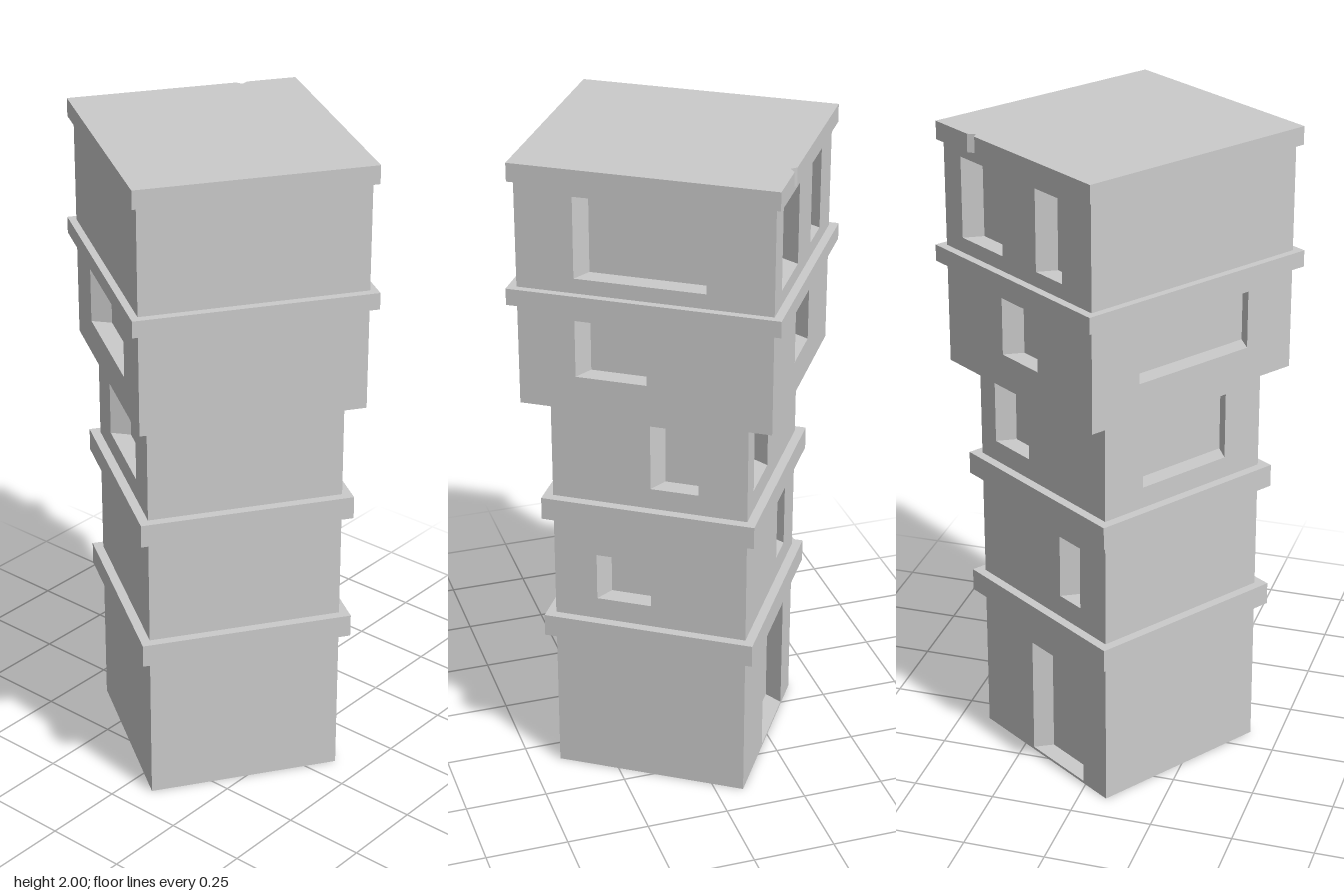
import * as THREE from 'three';
import { mergeGeometries } from 'three/addons/utils/BufferGeometryUtils.js';

const material = new THREE.MeshStandardMaterial({ color: 0xcccccc, flatShading: true });

// Recesses run inward at a slant: sideways drift and depth
const DRIFT = 0.029, DEPTH = 0.056;

function mesh(name, geometry) {
  const m = new THREE.Mesh(geometry, material);
  m.name = name;
  return m;
}

// Four side walls and a blind back for one opening [u0, u1, v0, v1]
function recess([u0, u1, v0, v1]) {
  const outer = [[u0, v0], [u1, v0], [u1, v1], [u0, v1]].map(([u, v]) => [u, v, 0]);
  const inner = outer.map(([u, v]) => [u + DRIFT, v, -DEPTH]);
  const p = [];
  const quad = (a, b, c, d) => p.push(...a, ...b, ...c, ...a, ...c, ...d);
  for (let i = 0; i < 4; i++) {
    const j = (i + 1) % 4;
    quad(outer[i], outer[j], inner[j], inner[i]);
  }
  quad(...inner);
  const g = new THREE.BufferGeometry();
  g.setAttribute('position', new THREE.Float32BufferAttribute(p, 3));
  g.computeVertexNormals();
  return g;
}

// Flat wall with recessed openings, facing +z before it is turned into place
function wall(halfWidth, y0, y1, openings, angle, distance) {
  const rect = (S, a, b, c, d) => {
    const s = new S();
    s.moveTo(a, c); s.lineTo(b, c); s.lineTo(b, d); s.lineTo(a, d); s.closePath();
    return s;
  };
  const shape = rect(THREE.Shape, -halfWidth, halfWidth, y0, y1);
  openings.forEach((o) => shape.holes.push(rect(THREE.Path, ...o)));
  const face = new THREE.ShapeGeometry(shape).toNonIndexed();
  face.deleteAttribute('uv');
  return mergeGeometries([face, ...openings.map(recess)])
    .translate(0, 0, distance)
    .rotateY(angle);
}

// One storey: front, left, back and right walls, with an optional underside
function storey({ name, hx, hz, y0, y1, left = [], back = [], right = [], underside }) {
  const parts = [
    wall(hx, y0, y1, [], 0, hz),
    wall(hz, y0, y1, left, Math.PI / 2, hx),
    wall(hx, y0, y1, back, Math.PI, hz),
    wall(hz, y0, y1, right, -Math.PI / 2, hx),
  ];
  if (underside) {
    const floor = new THREE.PlaneGeometry(2 * hx, 2 * hz).rotateX(Math.PI / 2).translate(0, y0, 0).toNonIndexed();
    floor.deleteAttribute('uv');
    parts.push(floor);
  }
  return mesh(name, mergeGeometries(parts));
}

function ledge(name, hx, hz, y0, y1) {
  return mesh(name, new THREE.BoxGeometry(2 * hx, y1 - y0, 2 * hz).translate(0, (y0 + y1) / 2, 0));
}

// Roof slab with a small chip out of its back edge
function roof(hx, hz, y0, y1) {
  const s = new THREE.Shape();
  [[-hx, -hz], [hx, -hz], [hx, hz], [0.2, hz], [0.18, hz - 0.016], [0.165, hz], [-hx, hz]]
    .forEach(([x, y], i) => (i ? s.lineTo(x, y) : s.moveTo(x, y)));
  s.closePath();
  const g = new THREE.ExtrudeGeometry(s, { depth: y1 - y0, bevelEnabled: false });
  return mesh('roofSlab', g.rotateX(-Math.PI / 2).translate(0, y0, 0));
}

export function createModel() {
  const tower = new THREE.Group();
  tower.name = 'tower';
  const low = { hx: 0.295, hz: 0.295 }, high = { hx: 0.335, hz: 0.373 };

  // Openings are [from, to, bottom, top] along each wall
  const storeys = [
    { name: 'groundStorey', ...low, y0: 0, y1: 0.48, underside: true,
      back: [[-0.061, 0.186, 0.008, 0.385]] },
    { name: 'secondStorey', ...low, y0: 0.53, y1: 0.88,
      left: [[-0.164, 0.004, 0.61, 0.76]],
      back: [[0.081, 0.177, 0.61, 0.81]] },
    { name: 'thirdStorey', ...low, y0: 0.94, y1: 1.26,
      left: [[0.004, 0.148, 1.01, 1.215]],
      back: [[-0.224, -0.061, 1.01, 1.215]],
      right: [[-0.155, 0.16, 1.01, 1.215]] },
    { name: 'fourthStorey', ...high, y0: 1.26, y1: 1.58, underside: true,
      left: [[-0.204, 0.006, 1.365, 1.54]],
      back: [[-0.074, 0.089, 1.365, 1.54]],
      right: [[-0.203, 0.203, 1.365, 1.54]] },
    { name: 'fifthStorey', ...high, y0: 1.62, y1: 1.95,
      left: [[-0.204, 0.18, 1.67, 1.915]],
      back: [[-0.255, -0.065, 1.67, 1.915], [0.089, 0.206, 1.67, 1.915]] },
  ];
  storeys.forEach((s) => tower.add(storey(s)));

  // Projecting ledges between storeys
  tower.add(
    ledge('lowerLedge', 0.323, 0.323, 0.47, 0.54),
    ledge('middleLedge', 0.323, 0.323, 0.875, 0.945),
    ledge('upperLedge', 0.357, 0.398, 1.575, 1.625),
    roof(0.35, 0.388, 1.945, 2),
  );

  // The whole tower stands turned on its base
  tower.rotation.y = -0.586;
  const model = new THREE.Group();
  model.name = 'towerBuilding';
  model.add(tower);
  return model;
}
